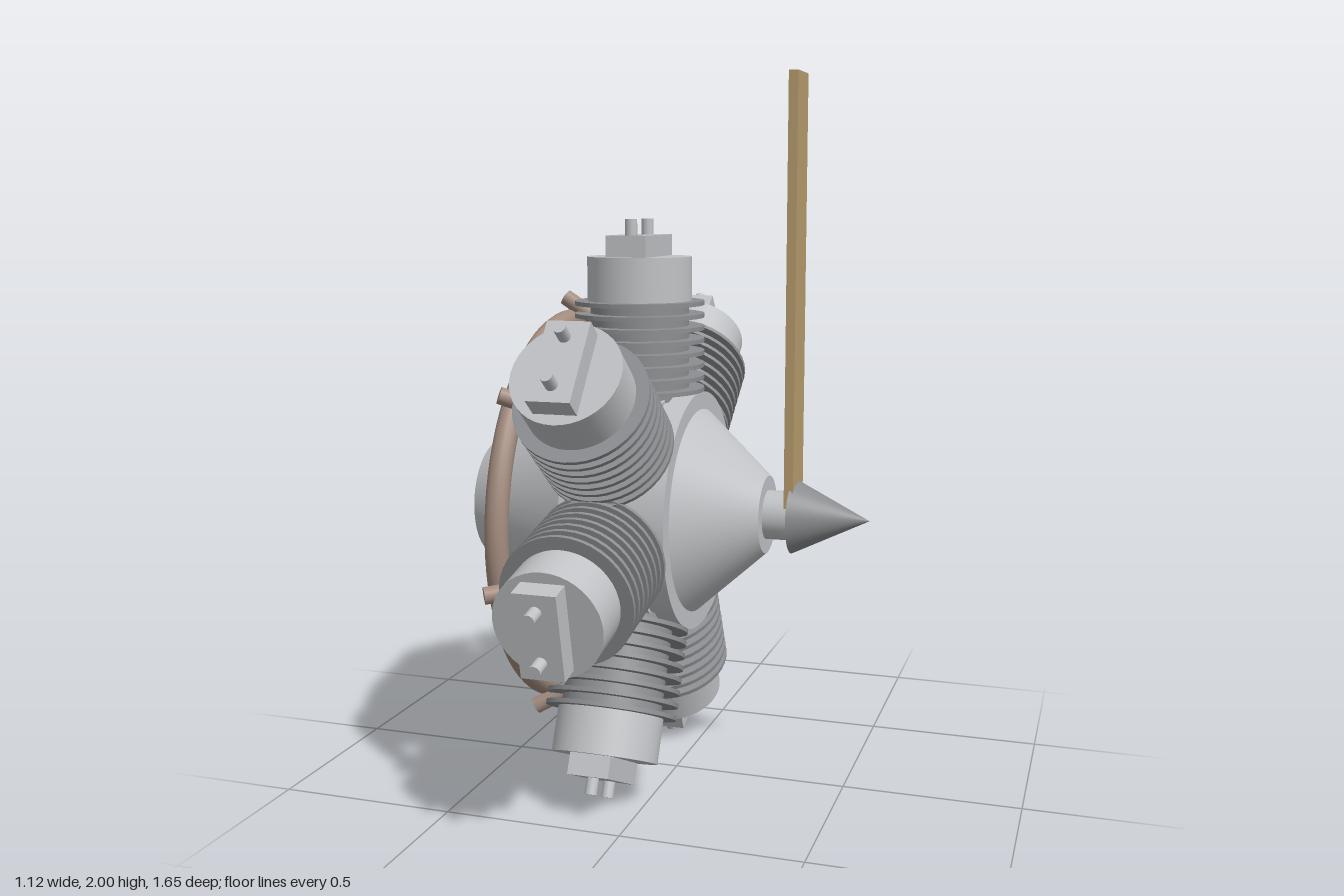
import * as THREE from 'three';

const mat = (name, color) => {
  const m = new THREE.MeshStandardMaterial({ color });
  m.name = name;
  return m;
};

export function createModel() {
  const metal = mat('light metal', 0xc0c2c5);
  const finMetal = mat('fin metal', 0x8c8e91);
  const noseMetal = mat('nose metal', 0x8a8b8e);
  const pipe = mat('exhaust brown', 0xa38c7f);
  const wood = mat('propeller wood', 0xb89c6e);

  const model = new THREE.Group();
  model.name = 'radialEngine';
  const engine = new THREE.Group();
  engine.name = 'engine';
  engine.position.y = 0.785;
  model.add(engine);

  const add = (parent, name, geometry, material, x = 0, y = 0, z = 0) => {
    const mesh = new THREE.Mesh(geometry, material);
    mesh.name = name;
    mesh.position.set(x, y, z);
    parent.add(mesh);
    return mesh;
  };

  // Turned part along the x axis, from x0 (radius r0) to x1 (radius r1)
  const turned = (name, x0, r0, x1, r1, material) =>
    add(engine, name, new THREE.CylinderGeometry(r1, r0, x1 - x0, 64).rotateZ(-Math.PI / 2),
      material, (x0 + x1) / 2);

  // Crankcase, shaft and spinner
  turned('rearCone', -0.56, 0.168, -0.23, 0.34, metal);
  turned('crankcase', -0.23, 0.34, -0.005, 0.34, metal);
  turned('crankcaseSeam', -0.005, 0.33, 0.012, 0.33, metal);
  turned('frontFlange', 0.012, 0.34, 0.07, 0.34, metal);
  turned('frontCone', 0.07, 0.29, 0.27, 0.11, metal);
  turned('propellerShaft', 0.27, 0.069, 0.345, 0.069, metal);
  turned('noseCone', 0.345, 0.105, 0.56, 0, noseMetal);

  // Single upright propeller blade
  add(engine, 'propellerBlade', new THREE.BoxGeometry(0.026, 1.215, 0.122), wood, 0.343, 0.6075);

  // Exhaust collector ring
  add(engine, 'exhaustRing', new THREE.TorusGeometry(0.535, 0.031, 16, 80).rotateY(Math.PI / 2),
    pipe, -0.32);

  // Shared cylinder geometry
  const barrelGeo = new THREE.CylinderGeometry(0.14, 0.14, 0.33, 40);
  const finGeo = new THREE.CylinderGeometry(0.184, 0.184, 0.012, 40);
  const headGeo = new THREE.CylinderGeometry(0.148, 0.148, 0.13, 40);
  const boxGeo = new THREE.BoxGeometry(0.117, 0.06, 0.236);
  const pinGeo = new THREE.CylinderGeometry(0.017, 0.017, 0.06, 16);

  // Exhaust stub from the ring down into the barrel
  const stubStart = new THREE.Vector3(-0.335, 0.6, 0);
  const stubEnd = new THREE.Vector3(-0.2, 0.515, 0);
  const stubPath = new THREE.LineCurve3(stubStart, stubEnd);
  const stubGeo = new THREE.CylinderGeometry(0.023, 0.023, stubPath.getLength(), 16);
  const stubTurn = new THREE.Quaternion().setFromUnitVectors(
    new THREE.Vector3(0, 1, 0), stubStart.clone().sub(stubEnd).normalize());
  const stubMid = stubPath.getPoint(0.5);

  // Seven cylinders around the crankcase
  for (let i = 0; i < 7; i++) {
    const unit = new THREE.Group();
    unit.name = 'cylinder' + (i + 1);
    unit.rotation.x = (i / 7) * Math.PI * 2;
    engine.add(unit);

    add(unit, 'barrel', barrelGeo, finMetal, -0.11, 0.435);
    for (let f = 0; f < 8; f++) {
      add(unit, 'coolingFin', finGeo, finMetal, -0.11, 0.345 + f * 0.035);
    }
    add(unit, 'head', headGeo, metal, -0.11, 0.655);
    add(unit, 'rockerBox', boxGeo, metal, -0.11, 0.75);
    for (const side of [-1, 1]) {
      add(unit, 'valvePin', pinGeo, metal, -0.11, 0.795, side * 0.07);
    }
    add(unit, 'exhaustStub', stubGeo, pipe, stubMid.x, stubMid.y).quaternion.copy(stubTurn);
  }
  return model;
}
